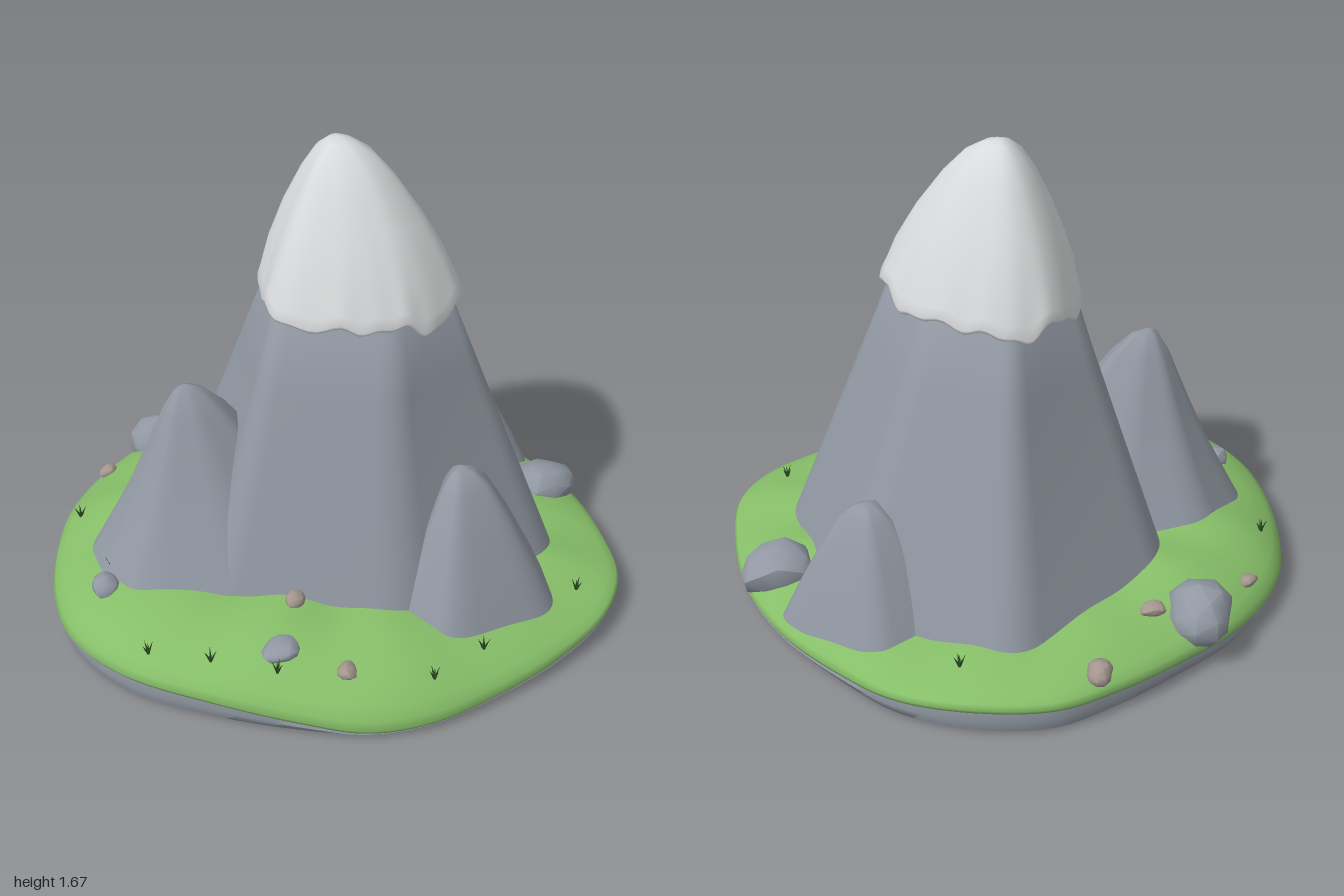
import * as THREE from 'three';
import { mergeVertices, toCreasedNormals, mergeGeometries } from 'three/addons/utils/BufferGeometryUtils.js';

const mat = (name, color, side = THREE.FrontSide) => {
  const m = new THREE.MeshStandardMaterial({ color, side });
  m.name = name;
  return m;
};

// Skin closed rings of equal length, listed from bottom to top
function loft(rings, crease = 0) {
  const n = rings[0].length, pos = [], idx = [];
  rings.forEach(r => r.forEach(p => pos.push(p.x, p.y, p.z)));
  for (let k = 0; k < rings.length - 1; k++) {
    for (let i = 0; i < n; i++) {
      const a = k * n + i, b = k * n + (i + 1) % n;
      idx.push(a, a + n, b, b, a + n, b + n);
    }
  }
  const g = new THREE.BufferGeometry();
  g.setAttribute('position', new THREE.Float32BufferAttribute(pos, 3));
  g.setIndex(idx);
  if (crease) return toCreasedNormals(g, crease);
  const merged = mergeVertices(g, 1e-5);
  merged.computeVertexNormals();
  return merged;
}

// Polygon in x, z with softened corners
function softPolygon(corners, y, t, steps = 6) {
  const v = corners.map(([x, z]) => new THREE.Vector3(x, y, z)), n = v.length, out = [];
  v.forEach((c, i) => {
    const curve = new THREE.QuadraticBezierCurve3(
      c.clone().lerp(v[(i + n - 1) % n], t), c, c.clone().lerp(v[(i + 1) % n], t));
    out.push(...curve.getPoints(steps));
  });
  return out;
}

const closedCurve = (pts, n) =>
  new THREE.CatmullRomCurve3(pts.map(p => new THREE.Vector3(...p)), true).getPoints(n).slice(0, n);

// Side peak: a foot polygon drawn in toward its tip, profile = [scale, y]
function peak(foot, [ax, az], profile) {
  const ring = softPolygon(foot, 0, 0.27);
  return loft(profile.map(([s, y]) =>
    ring.map(p => new THREE.Vector3(ax + (p.x - ax) * s, y, az + (p.z - az) * s))));
}

// Irregular boulder
function boulder(seed) {
  const g = new THREE.IcosahedronGeometry(1, 1);
  g.deleteAttribute('uv');
  const p = g.attributes.position, v = new THREE.Vector3();
  for (let i = 0; i < p.count; i++) {
    v.fromBufferAttribute(p, i);
    const k = 1 + 0.12 * Math.sin(v.x * 2.6 + seed * 2) + 0.1 * Math.sin(v.z * 3.3 + v.y * 2.2 + seed * 5);
    v.multiplyScalar(k);
    p.setXYZ(i, v.x, v.y, v.z);
  }
  return toCreasedNormals(g, 0.75);
}

export function createModel() {
  const group = new THREE.Group();
  const rock = mat('rock grey', 0x9198a2);
  const snow = mat('snow white', 0xd8dadb);
  const grass = mat('grass green', 0x86be68, THREE.DoubleSide);
  const pebble = mat('pebble brown', 0xa3968e);
  const blade = mat('dark grass', 0x2f5224);
  const add = (name, geo, m) => {
    const mesh = new THREE.Mesh(geo, m);
    mesh.name = name;
    group.add(mesh);
    return mesh;
  };

  // Island rim: y is the height of the lower grass edge
  const rim = closedCurve([
    [1, 0.08, 0.1], [0.95, 0.07, 0.3], [0.8, 0.05, 0.5], [0.6, 0.035, 0.68], [0.4, 0.03, 0.82],
    [0.2, 0.035, 0.89], [0, 0.06, 0.9], [-0.3, 0.09, 0.875], [-0.61, 0.1, 0.8], [-0.82, 0.09, 0.65],
    [-0.945, 0.075, 0.42], [-1, 0.07, 0.1], [-0.975, 0.07, -0.1], [-0.87, 0.075, -0.33],
    [-0.7, 0.08, -0.53], [-0.51, 0.09, -0.72], [-0.32, 0.1, -0.86], [-0.05, 0.1, -0.91],
    [0.2, 0.08, -0.87], [0.4, 0.06, -0.76], [0.65, 0.05, -0.58], [0.84, 0.055, -0.36], [0.95, 0.07, -0.12],
  ], 140);
  const rimRing = (s, f) => rim.map(p => new THREE.Vector3(p.x * s, f(p), p.z * s));
  add('stoneBase', loft([
    rimRing(0, () => 0), rimRing(0.95, () => 0), rimRing(0.972, () => 0.012),
    rimRing(0.987, p => p.y * 0.6), rimRing(0.975, p => p.y + 0.01),
  ], 0.7), rock);

  // Grass blanket with a rounded lip, rising toward the mountain
  const meadow = (s, w) => rimRing(s, p => {
    const inner = 0.21 - 0.05 * p.x * s + 0.03 * p.z * s
      + 0.01 * Math.sin(p.x * 11 + p.z * 4) + 0.008 * Math.sin(p.z * 15);
    return THREE.MathUtils.lerp(p.y + 0.02, inner, w);
  });
  const lawn = add('grass', loft([
    rimRing(0.965, p => p.y), rimRing(0.99, p => p.y - 0.006), rimRing(1, p => p.y + 0.012),
    meadow(0.99, 0.14), meadow(0.96, 0.33), meadow(0.9, 0.57), meadow(0.82, 0.8),
    meadow(0.74, 0.96), meadow(0.65, 1.04), meadow(0.5, 1.1),
  ]), grass);

  // Main mountain: six soft ridges from foot to shoulder
  const foot = [[0.81, 0.05], [0.3, 0.56], [-0.4, 0.56], [-0.66, -0.2], [-0.19, -0.755], [0.46, -0.6]];
  const top = [[0.36, 0], [0.2, 0.235], [-0.17, 0.215], [-0.245, -0.09], [-0.1, -0.35], [0.17, -0.27]];
  const level = t => softPolygon(foot.map(([x, z], i) =>
    [x + (top[i][0] - x) * t, z + (top[i][1] - z) * t]), 0.1 + 1.1 * t, 0.15);
  const levels = [0, 0.25, 0.5, 0.75, 1].map(level);
  levels.push(levels[4].map(() => new THREE.Vector3(0, 1.35, -0.05)));
  add('mountain', loft(levels), rock);

  // Side peaks, their inner corners reaching into the mountain to form saddles
  add('leftPeak', peak(
    [[-0.16, 0.58], [-0.64, 0.61], [-0.81, 0.48], [-0.9, 0.28], [-0.79, -0.04], [-0.4, -0.2], [0.2, -0.1], [0.22, 0.28]],
    [-0.48, 0.24],
    [[1, 0.1], [0.8, 0.25], [0.52, 0.47], [0.32, 0.66], [0.18, 0.8], [0.08, 0.87], [0, 0.89]]), rock);
  const buttress = h => [[1, 0.1], [0.77, 0.28], [0.5, 0.47], [0.28, 0.6], [0.13, 0.645], [0, 0.66]]
    .map(([s, y]) => [s, 0.1 + (y - 0.1) * (h - 0.1) / 0.56]);
  add('rightPeak', peak(
    [[0.73, 0.07], [0.81, 0.36], [0.45, 0.62], [0.23, 0.53], [0.26, 0.15]], [0.43, 0.26], buttress(0.66)), rock);
  add('backPeak', peak(
    [[0.68, -0.55], [0.55, -0.36], [0.1, -0.2], [0.02, -0.57], [0.28, -0.765]], [0.36, -0.48], buttress(0.56)), rock);

  // Snow cap with a dripping lower edge
  const capRim = closedCurve([
    [0.4, 1.15, 0], [0.32, 1.12, 0.18], [0.2, 1.16, 0.25], [0.04, 1.15, 0.28], [-0.18, 1.16, 0.23],
    [-0.25, 1.15, 0.06], [-0.28, 1.12, -0.1], [-0.225, 1.16, -0.29], [-0.11, 1.13, -0.37],
    [0.06, 1.16, -0.355], [0.25, 1.14, -0.27], [0.35, 1.17, -0.14],
  ], 108);
  const [cx, cz] = [-0.01, -0.05];
  capRim.forEach((p, i) => { p.y += 0.012 * Math.sin(i * Math.PI / 6) + 0.008 * Math.sin(i * Math.PI * 17 / 54); });
  const capRing = (s, y, drip) => capRim.map(p =>
    new THREE.Vector3(cx + (p.x - cx) * s, y + (p.y - 1.14) * drip, cz + (p.z - cz) * s));
  add('snowCap', loft([
    capRing(0.85, 1.155, 1), capRing(0.97, 1.135, 1), capRing(1, 1.15, 1), capRing(0.96, 1.185, 0.8),
    capRing(0.86, 1.29, 0.2), capRing(0.68, 1.42, 0), capRing(0.46, 1.545, 0), capRing(0.29, 1.62, 0),
    capRing(0.13, 1.66, 0), capRing(0, 1.672, 0),
  ]), snow);

  // Ground height under a point of the lawn
  const ray = new THREE.Raycaster();
  const ground = (x, z) => {
    ray.set(new THREE.Vector3(x, 3, z), new THREE.Vector3(0, -1, 0));
    const hit = ray.intersectObject(lawn)[0];
    return hit ? hit.point.y : 0.1;
  };

  // Boulders and pebbles: x, z, half sizes, lift above the ground
  const stones = (name, m, list) => list.forEach(([x, z, w, h, d, lift], i) => {
    const s = add(name, boulder(i + 1), m);
    s.scale.set(w, h, d);
    s.position.set(x, ground(x, z) + lift, z);
    s.rotation.y = i * 0.4;
  });
  stones('boulder', rock, [
    [-0.73, -0.38, 0.125, 0.095, 0.105, 0], [0.73, -0.335, 0.125, 0.105, 0.1, 0],
    [-0.1, 0.73, 0.064, 0.03, 0.06, -0.005], [-0.73, 0.5, 0.055, 0.04, 0.05, 0],
  ]);
  stones('pebble', pebble, [
    [-0.44, -0.72, 0.048, 0.037, 0.044, 0.012], [-0.58, -0.43, 0.042, 0.027, 0.032, 0.01],
    [-0.89, -0.17, 0.034, 0.024, 0.027, 0.01], [-0.08, 0.53, 0.044, 0.025, 0.032, 0.005],
    [0.12, 0.76, 0.038, 0.022, 0.034, 0.005],
  ]);

  // Grass tufts: leaning thin blades
  const tuft = mergeGeometries([0, 1, 2, 3, 4].map(i =>
    new THREE.ConeGeometry(0.006, 0.05, 4).translate(0, 0.022, 0)
      .rotateZ(i ? 0.45 : 0).rotateY(i * Math.PI / 2 + 0.4)));
  [[-0.92, 0.11], [-0.73, 0.42], [-0.53, 0.76], [-0.32, 0.78], [-0.1, 0.8], [0.4, 0.72],
    [0.55, 0.57], [0.85, 0.23], [0, -0.77]].forEach(([x, z], i) => {
    const t = add('grassTuft', tuft, blade);
    t.position.set(x, ground(x, z), z);
    t.rotation.y = i;
  });
  return group;
}
